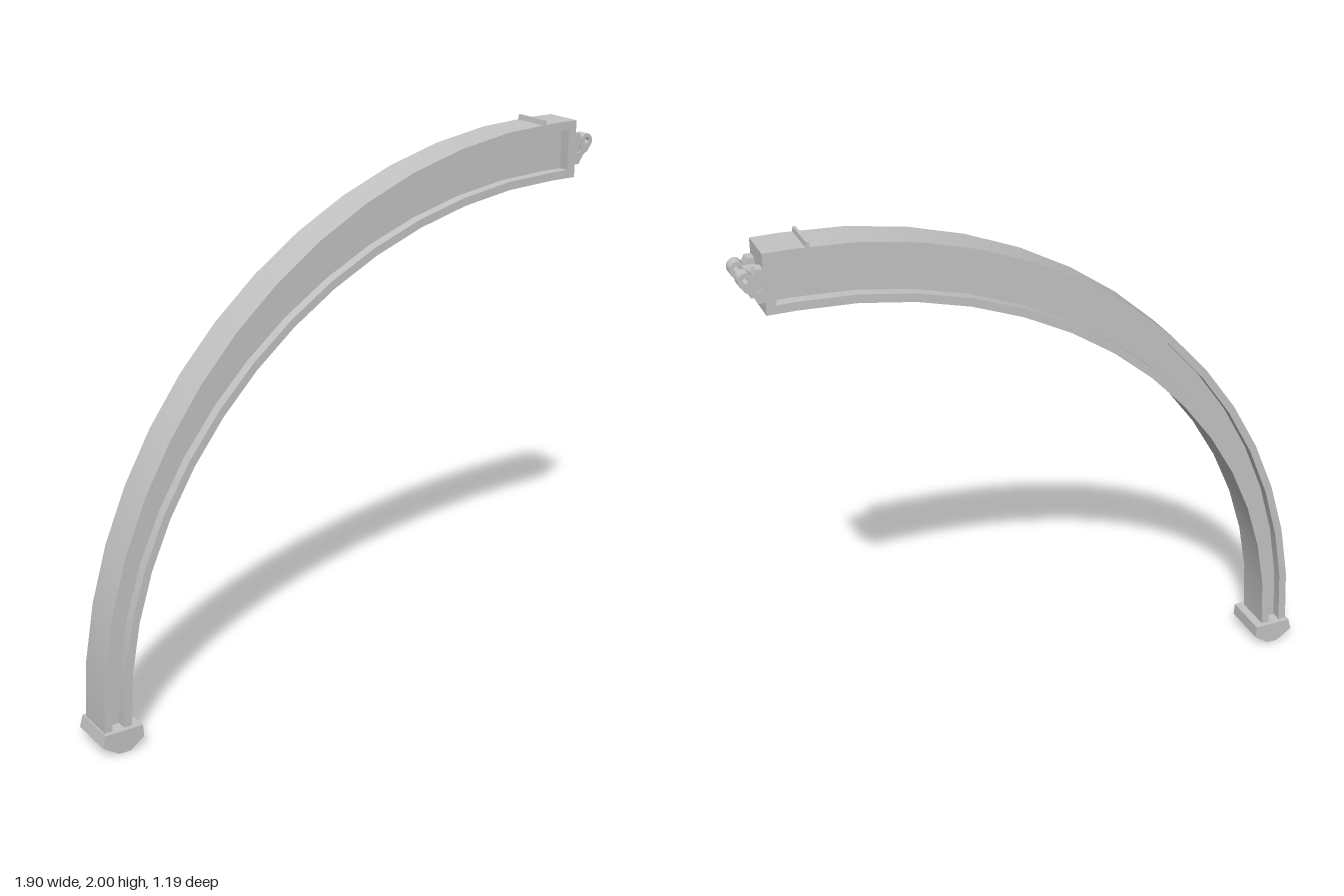
import * as THREE from 'three';
import { toCreasedNormals } from 'three/addons/utils/BufferGeometryUtils.js';

const CX = 0.872, CY = 0.085;    // centre of the quarter arch
const END = 0.972;               // end of the straight tip
const BACK = -0.085, FRONT = 0.06, RIM = 0.03, RECESS = 0.04;
const STEPS = 14;

// Outer and inner edge of the rib at each station, from foot to tip
function stations() {
  const list = [[[CX - 1.9, 0.06], [CX - 1.795, 0.06]]];
  for (let i = 0; i <= STEPS; i++) {
    const t = (i / STEPS) * Math.PI / 2, c = Math.cos(t), s = Math.sin(t);
    list.push([[CX - 1.9 * c, CY + 1.9 * s], [CX - 1.795 * c, CY + 1.69 * s]]);
  }
  list.push([[END, CY + 1.9], [END, CY + 1.69]]);
  return list;
}

// Rectangular section swept along the arch; from/to give depths below the outer edge
function sweep(from, to, z0, z1) {
  const rings = stations().map(([o, n]) => {
    const len = Math.hypot(n[0] - o[0], n[1] - o[1]);
    const at = (d, z) => [o[0] + (n[0] - o[0]) * d / len, o[1] + (n[1] - o[1]) * d / len, z];
    const a = from(len), b = to(len);
    return [at(a, z1), at(a, z0), at(b, z0), at(b, z1)];
  });
  const pos = [];
  const quad = (a, b, c, d) => pos.push(...a, ...b, ...c, ...a, ...c, ...d);
  for (let i = 0; i < rings.length - 1; i++) {
    for (let k = 0; k < 4; k++) {
      const m = (k + 1) % 4;
      quad(rings[i][k], rings[i + 1][k], rings[i + 1][m], rings[i][m]);
    }
  }
  quad(...rings[0]);
  quad(...rings[rings.length - 1].slice().reverse());
  const g = new THREE.BufferGeometry();
  g.setAttribute('position', new THREE.Float32BufferAttribute(pos, 3));
  return toCreasedNormals(g, 0.5);
}

// Outline extruded between two depths
function plate(shape, z0, z1) {
  const g = new THREE.ExtrudeGeometry(shape, { depth: z1 - z0, bevelEnabled: false, curveSegments: 8 });
  return g.translate(0, 0, z0);
}

function outline(points) {
  return new THREE.Shape(points.map(([x, y]) => new THREE.Vector2(x, y)));
}

function hole(shape, x, y, r) {
  shape.holes.push(new THREE.Path().absarc(x, y, r, 0, Math.PI * 2, true));
}

export function createModel() {
  const model = new THREE.Group();
  model.name = 'archRib';
  const grey = new THREE.MeshStandardMaterial({ color: 0xc4c4c4 });
  grey.name = 'lightGrey';
  const add = (name, geometry) => {
    const mesh = new THREE.Mesh(geometry, grey);
    mesh.name = name;
    model.add(mesh);
  };
  const box = (name, x0, x1, y0, y1, z0, z1) => add(name,
    new THREE.BoxGeometry(x1 - x0, y1 - y0, z1 - z0)
      .translate((x0 + x1) / 2, (y0 + y1) / 2, (z0 + z1) / 2));

  // Curved beam: two flanges and a recessed web
  add('outerFlange', sweep(() => 0, () => RIM, BACK, FRONT));
  add('innerFlange', sweep(l => l - RIM, l => l, BACK, FRONT));
  add('web', sweep(() => RIM * 0.9, l => l - RIM * 0.9, BACK + RECESS, FRONT - RECESS));

  // Tip block closing the recesses
  box('tipBlock', END - 0.035, END, 1.79, 1.97, BACK, FRONT);

  // Low ridge across the top
  add('topRidge', plate(outline([[0.815, 1.975], [0.832, 1.975], [0.829, 2], [0.82, 2]]), BACK, FRONT));

  // Hinge: two lugs on a shared root
  box('hingeRoot', END - 0.01, 1.015, 1.84, 1.915, BACK + 0.005, FRONT - 0.01);
  for (const [name, z0, z1] of [['frontLug', 0.012, 0.055], ['backLug', -0.085, -0.045]]) {
    const s = new THREE.Shape();
    s.moveTo(END - 0.01, 1.82);
    s.lineTo(0.995, 1.82);
    s.lineTo(1.012, 1.85);
    s.lineTo(1.035, 1.865);
    s.absarc(1.027, 1.902, 0.028, -0.9, Math.PI * 0.6, false);
    s.lineTo(1.005, 1.915);
    s.lineTo(0.995, 1.935);
    s.lineTo(END - 0.01, 1.935);
    hole(s, 1.03, 1.904, 0.011);
    hole(s, 0.99, 1.875, 0.014);
    add(name, plate(s, z0, z1));
  }

  // Foot with a tapered underside
  add('foot', plate(outline([
    [-0.89, 0.085], [-0.887, 0.04], [-0.94, 0], [-0.985, 0], [-1.045, 0.04], [-1.033, 0.085],
  ]), -0.103, 0.077));

  model.rotation.y = Math.PI / 6;
  return model;
}
